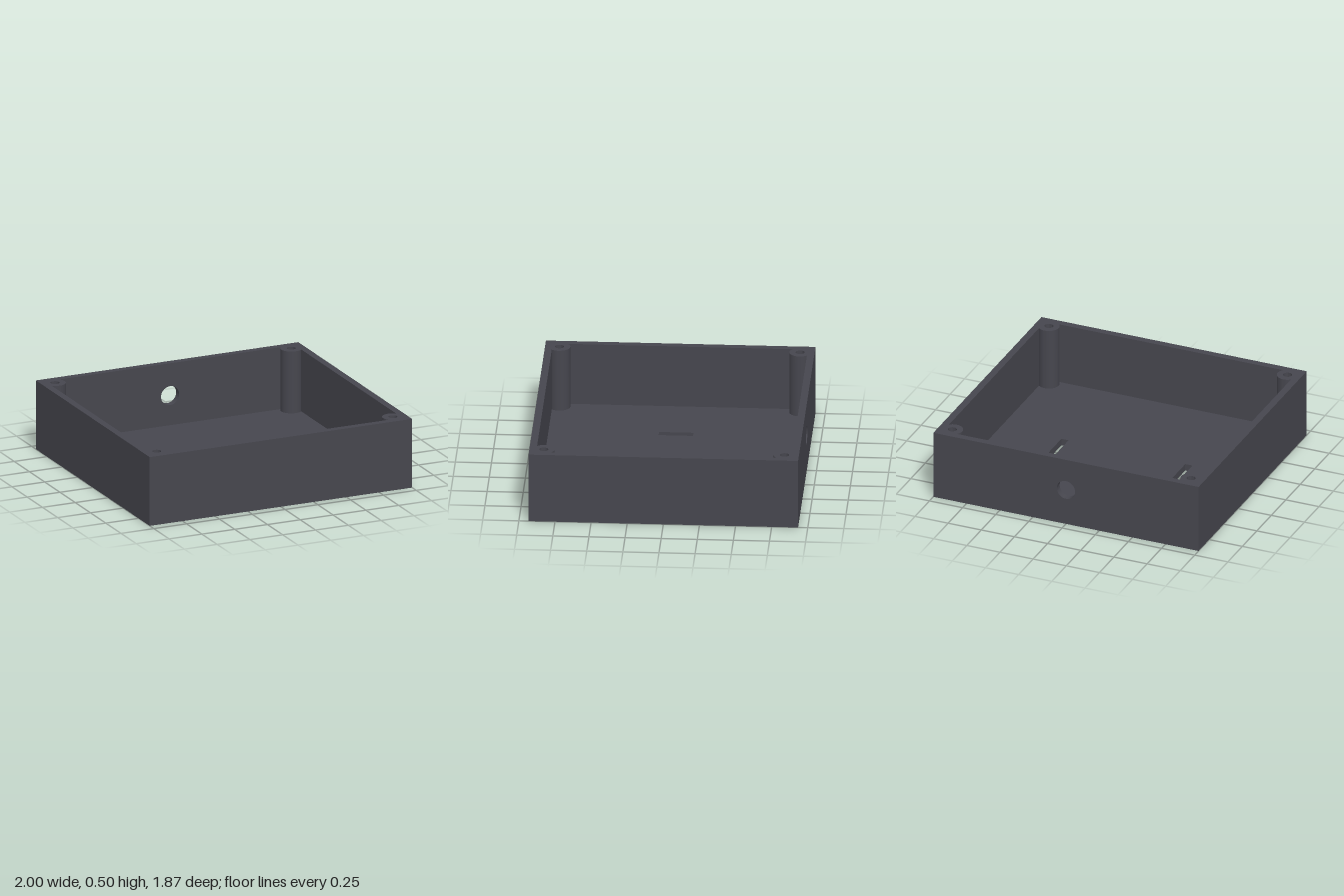
import * as THREE from 'three';
import { toCreasedNormals } from 'three/addons/utils/BufferGeometryUtils.js';

const W = 1, D = 0.933, H = 0.5;      // half width, half depth, height
const T = 0.05;                       // wall and floor thickness
const POST_X = 0.9, POST_Z = D - 0.1; // screw post centres
const POST_R = 0.075, SCREW_R = 0.031;

const polygon = (points) => new THREE.Shape(points.map(([x, y]) => new THREE.Vector2(x, y)));
const rect = (x, y, hw, hh) =>
  polygon([[x - hw, y - hh], [x + hw, y - hh], [x + hw, y + hh], [x - hw, y + hh]]);
const circle = (x, y, r) => new THREE.Path().absarc(x, y, r, 0, Math.PI * 2, true);

// Extrudes a shape and smooths its round parts only
function extrude(shape, depth) {
  const geometry = new THREE.ExtrudeGeometry(shape, { depth, bevelEnabled: false, curveSegments: 32 });
  return toCreasedNormals(geometry, 0.6);
}

// Extrudes a plan outline (shape y = -z) upwards from y0 to y1
const extrudeUp = (shape, y0, y1) => extrude(shape, y1 - y0).rotateX(-Math.PI / 2).translate(0, y0, 0);

export function createModel() {
  const group = new THREE.Group();
  const material = new THREE.MeshStandardMaterial({ color: 0x46464e });
  material.name = 'dark grey plastic';

  const add = (name, geometry) => {
    const mesh = new THREE.Mesh(geometry, material);
    mesh.name = name;
    group.add(mesh);
    return mesh;
  };

  // Floor with two slots and four screw holes
  const floor = rect(0, 0, W, D);
  for (const sx of [-1, 1]) {
    floor.holes.push(rect(sx * 0.467, 0, 0.027, 0.119));
    for (const sz of [-1, 1]) floor.holes.push(circle(sx * POST_X, sz * POST_Z, SCREW_R));
  }
  add('floor', extrudeUp(floor, 0, T));

  // Front and side walls as one U-shaped outline
  const back = D - T, inner = W - T;
  const walls = polygon([
    [-W, -D], [W, -D], [W, back], [inner, back],
    [inner, -back], [-inner, -back], [-inner, back], [-W, back],
  ]);
  add('frontAndSideWalls', extrudeUp(walls, T, H));

  // Back wall with a round cable hole
  const backWall = rect(0, (T + H) / 2, W, (H - T) / 2);
  backWall.holes.push(circle(0, 0.265, 0.069));
  add('backWall', extrude(backWall, T).translate(0, 0, -D));

  // Screw posts: round towards the inside, square into the corner
  const reach = Math.sqrt(POST_R ** 2 - T ** 2);
  const post = new THREE.Shape();
  post.moveTo(-T, -T);
  post.lineTo(reach, -T);
  post.absarc(0, 0, POST_R, Math.atan2(-T, reach), Math.atan2(reach, -T), false);
  post.closePath();
  post.holes.push(circle(0, 0, SCREW_R));
  const postGeometry = extrudeUp(post, T, H);
  const corners = [[-1, 1], [1, 1], [1, -1], [-1, -1]];
  corners.forEach(([sx, sz], i) => {
    const mesh = add('screwPost', postGeometry);
    mesh.position.set(sx * POST_X, 0, sz * POST_Z);
    mesh.rotation.y = i * Math.PI / 2;
  });

  return group;
}
